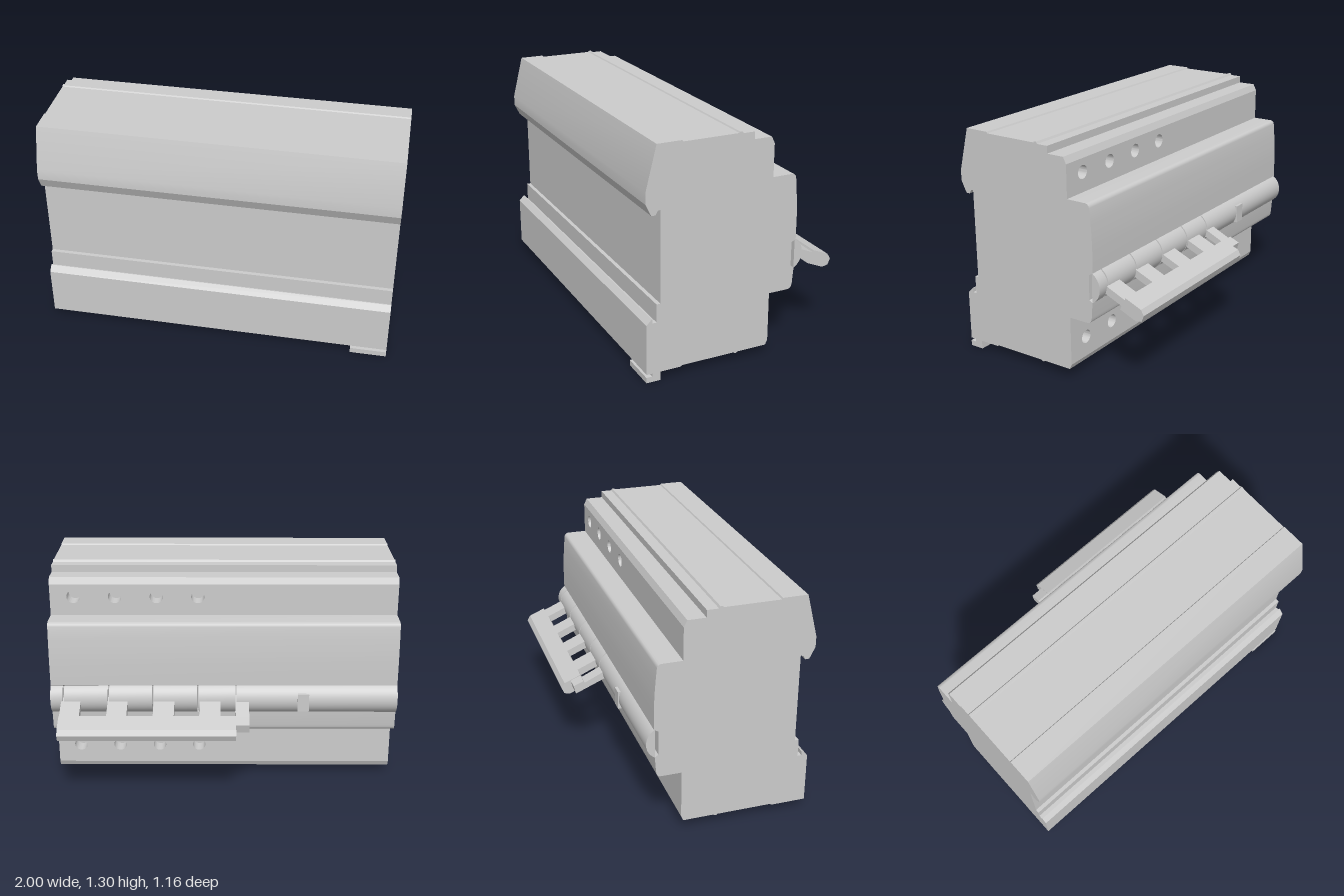
import * as THREE from 'three';
import { toCreasedNormals } from 'three/addons/utils/BufferGeometryUtils.js';

const grey = new THREE.MeshStandardMaterial({ color: 0xcccccc });

function addMesh(parent, name, geometry) {
  const mesh = new THREE.Mesh(geometry, grey);
  mesh.name = name;
  parent.add(mesh);
  return mesh;
}

// Side outline given as [z, y] points, swept along x from x0 to x1
function sweepX(points, x0, x1) {
  const shape = new THREE.Shape(points.map(([z, y]) => new THREE.Vector2(-z, y)));
  const geo = new THREE.ExtrudeGeometry(shape, { depth: x1 - x0, bevelEnabled: false });
  geo.rotateY(Math.PI / 2).translate(x0, 0, 0);
  return toCreasedNormals(geo, 0.45);
}

// Points of an arc in the z-y plane, angles in degrees
function arc(z, y, r, from, to, steps = 5) {
  return Array.from({ length: steps + 1 }, (_, i) => {
    const a = THREE.MathUtils.degToRad(from + (to - from) * i / steps);
    return [z + r * Math.cos(a), y + r * Math.sin(a)];
  });
}

const FACE = -0.15;      // terminal face
const RECESS = -0.06;    // bottom of the terminal holes
const holeXs = [0.865, 0.627, 0.388, 0.15];

// Terminal strip pierced by a row of screw holes
function terminalStrip(y0, y1, holeY) {
  const shape = new THREE.Shape([
    new THREE.Vector2(-1, y0), new THREE.Vector2(1, y0),
    new THREE.Vector2(1, y1), new THREE.Vector2(-1, y1),
  ]);
  for (const x of holeXs) {
    shape.holes.push(new THREE.Path().absarc(x, holeY, 0.038, 0, Math.PI * 2, true));
  }
  const geo = new THREE.ExtrudeGeometry(shape, { depth: RECESS - FACE, bevelEnabled: false, curveSegments: 24 });
  return toCreasedNormals(geo.translate(0, 0, FACE), 0.45);
}

export function createModel() {
  const model = new THREE.Group();
  model.name = 'circuitBreaker';

  // Housing: rail notch on +z, stepped nose on -z
  const outline = [
    [0.52, 1.305], [0.38, 1.305], [0.375, 1.297], [0.06, 1.297], [0.055, 1.304],
    [0.042, 1.304], [0.035, 1.293], [-0.03, 1.293], [-0.03, 1.252], [-0.132, 1.252],
    [FACE, 1.215], [RECESS, 1.215], [RECESS, 1.03],
    ...arc(-0.265, 1.005, 0.025, 90, 175),
    [-0.297, 0.93], [-0.302, 0.86], [-0.305, 0.79], [-0.305, 0.655],
    [-0.28, 0.64], [-0.28, 0.5], [-0.3, 0.487], [-0.293, 0.4],
    ...arc(-0.266, 0.39, 0.025, 185, 270),
    [RECESS, 0.365], [RECESS, 0.085], [FACE, 0.085], [-0.137, 0.056],
    [0.037, 0.056], [0.043, 0.05], [0.055, 0.05], [0.061, 0.056],
    [0.375, 0.056], [0.38, 0.049], [0.58, 0.049],
    [0.58, 0.335], [0.55, 0.366], [0.545, 0.366], [0.545, 0.342], [0.522, 0.342],
    [0.522, 0.445], [0.5, 0.445], [0.5, 0.96], [0.515, 0.957], [0.527, 0.935],
    [0.55, 0.935], [0.582, 1.0], [0.582, 1.06],
  ];
  addMesh(model, 'housing', sweepX(outline, -1, 1));
  addMesh(model, 'upperTerminalStrip', terminalStrip(1.03, 1.215, 1.14));
  addMesh(model, 'lowerTerminalStrip', terminalStrip(0.085, 0.365, 0.2));

  // Rail release clip under the housing
  addMesh(model, 'railClip', sweepX([
    [0.5, 0.055], [0.548, 0.055], [0.548, 0.032], [0.582, 0.032], [0.582, 0], [0.5, 0],
  ], 0.79, 1));

  // Switch rotor, split into pole segments by narrow grooves
  const rotor = new THREE.Group();
  rotor.name = 'switchRotor';
  model.add(rotor);
  const splits = [-1, -0.07, 0.15, 0.41, 0.665, 0.925, 1];
  const rotorOutline = arc(-0.25, 0.571, 0.098, 120, 240, 20);
  for (let i = 0; i < splits.length - 1; i++) {
    const x0 = splits[i] + (i ? 0.004 : 0);
    const x1 = splits[i + 1] - (i < splits.length - 2 ? 0.004 : 0);
    addMesh(rotor, 'rotorSegment', sweepX(rotorOutline, x0, x1));
  }
  addMesh(rotor, 'indicatorTab', sweepX([
    [-0.29, 0.617], [-0.353, 0.617], [-0.353, 0.512], [-0.29, 0.512],
  ], -0.49, -0.425));

  // Toggle handle: five arms joined by a bar
  const handle = new THREE.Group();
  handle.name = 'toggleHandle';
  model.add(handle);
  const arm = [[-0.3, 0.592], [-0.47, 0.518], [-0.453, 0.478], [-0.3, 0.545]];
  for (const [x0, x1] of [[0.02, 0.14], [0.285, 0.405], [0.555, 0.67], [0.825, 0.938]]) {
    addMesh(handle, 'handleArm', sweepX(arm, x0, x1));
  }
  addMesh(handle, 'endArm', sweepX([
    [-0.3, 0.592], [-0.458, 0.518], [-0.465, 0.53], [-0.525, 0.505],
    [-0.512, 0.455], [-0.44, 0.485], [-0.3, 0.545],
  ], -0.145, -0.068));
  addMesh(handle, 'handleBar', sweepX([
    [-0.458, 0.514], [-0.465, 0.534], [-0.562, 0.493], [-0.58, 0.462],
    [-0.566, 0.427], [-0.53, 0.42], [-0.431, 0.462], [-0.44, 0.485],
  ], -0.07, 0.938));

  return model;
}
